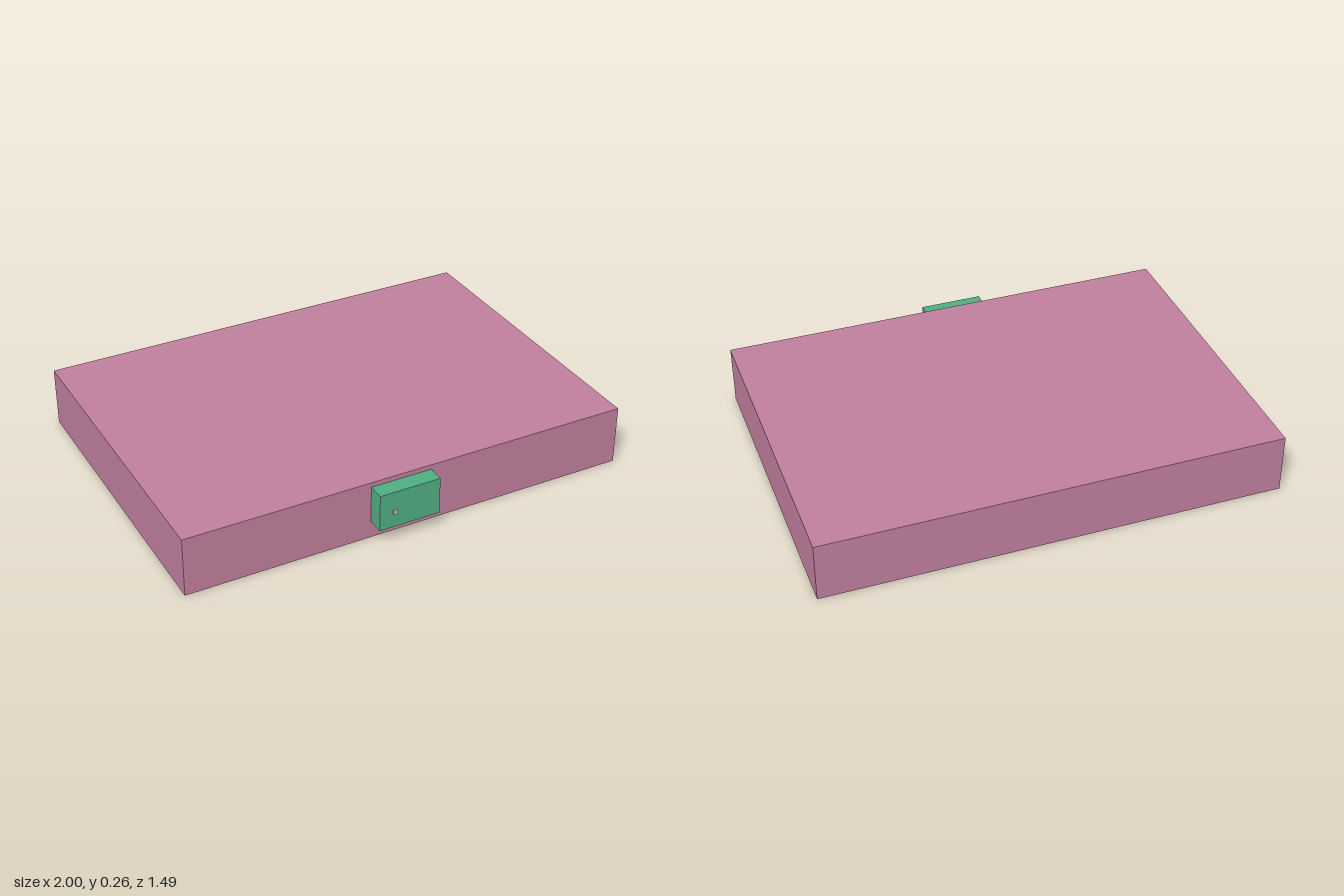
import * as THREE from 'three';

// Box given by its min and max corners
function block(name, min, max, color) {
  const size = max.map((v, i) => v - min[i]);
  const mesh = new THREE.Mesh(
    new THREE.BoxGeometry(...size),
    new THREE.MeshStandardMaterial({ color })
  );
  mesh.position.set(...max.map((v, i) => (v + min[i]) / 2));
  mesh.name = name;
  return mesh;
}

export function createModel() {
  const model = new THREE.Group();
  model.name = 'slabWithFrontBox';

  // Wide flat body
  model.add(block('body', [-1, 0, -0.743], [1, 0.264, 0.662], 0xc07f9e));

  // Small box on the front face, slightly off centre
  model.add(block('frontBox', [-0.187, 0.076, 0.662], [0.087, 0.243, 0.735], 0x50ae82));

  // Tiny button on the front box
  model.add(block('button', [-0.128, 0.141, 0.735], [-0.11, 0.159, 0.743], 0xcccccc));

  return model;
}
